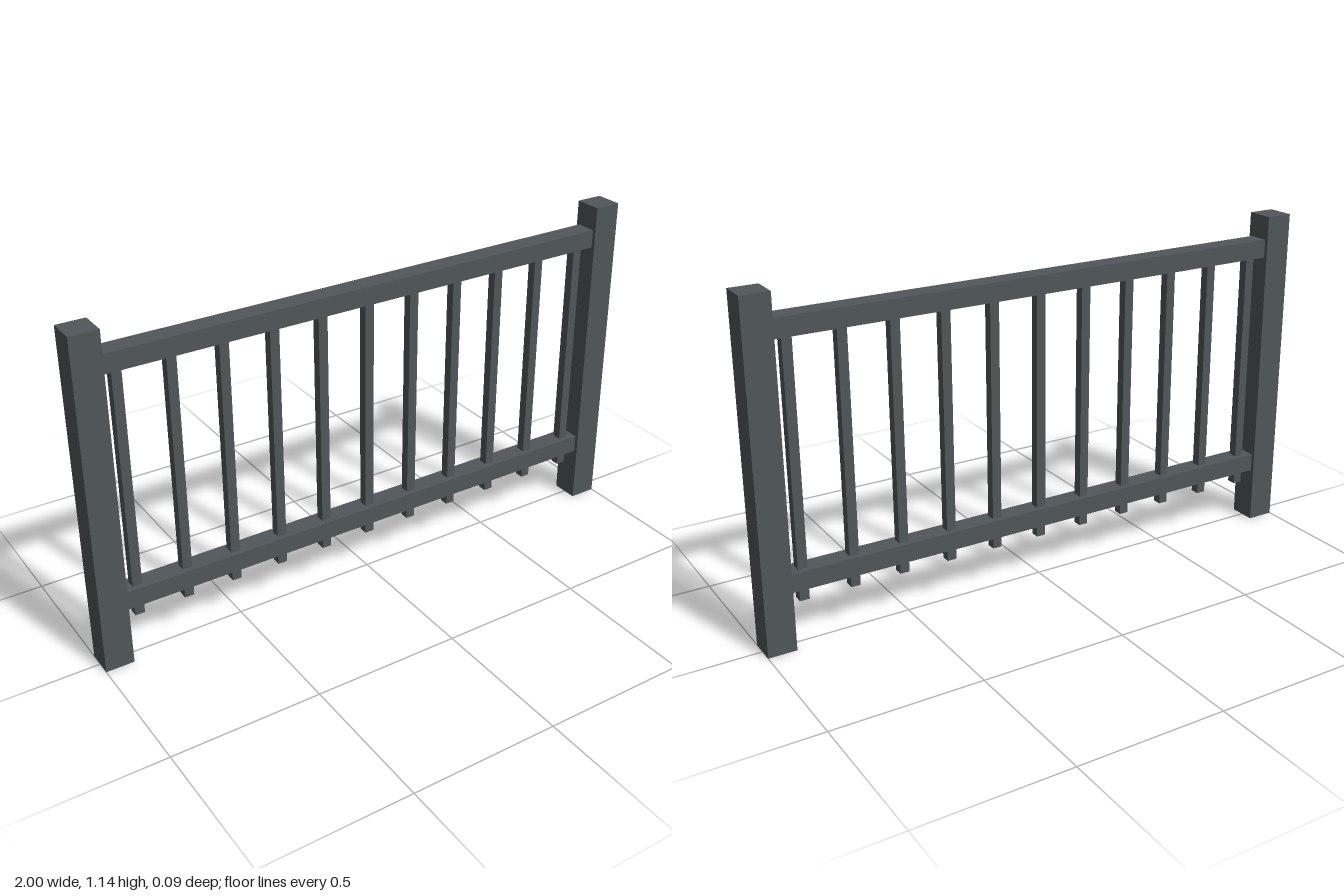
import * as THREE from 'three';

const material = new THREE.MeshStandardMaterial({ color: 0x50575a });

// Box spanning bottom to top, centred on z = 0
function bar(name, width, bottom, top, depth, x = 0) {
  const mesh = new THREE.Mesh(new THREE.BoxGeometry(width, top - bottom, depth), material);
  mesh.name = name;
  mesh.position.set(x, (bottom + top) / 2, 0);
  return mesh;
}

export function createModel() {
  const railing = new THREE.Group();
  railing.name = 'railing';

  const post = 0.095;
  const postX = 1 - post / 2;

  // End posts
  railing.add(bar('leftPost', post, 0, 1.145, post, postX));
  railing.add(bar('rightPost', post, 0, 1.145, post, -postX));

  // Rails between the posts
  const span = 2 - 2 * post;
  railing.add(bar('topRail', span, 1.0, 1.063, 0.07));
  railing.add(bar('bottomRail', span, 0.192, 0.255, 0.07));

  // Balusters, passing through the bottom rail
  const balusters = new THREE.Group();
  balusters.name = 'balusters';
  const count = 11, spacing = 0.1715;
  for (let i = 0; i < count; i++) {
    const x = (i - (count - 1) / 2) * spacing;
    balusters.add(bar(`baluster${i + 1}`, 0.032, 0.147, 1.0, 0.032, x));
  }
  railing.add(balusters);

  return railing;
}
